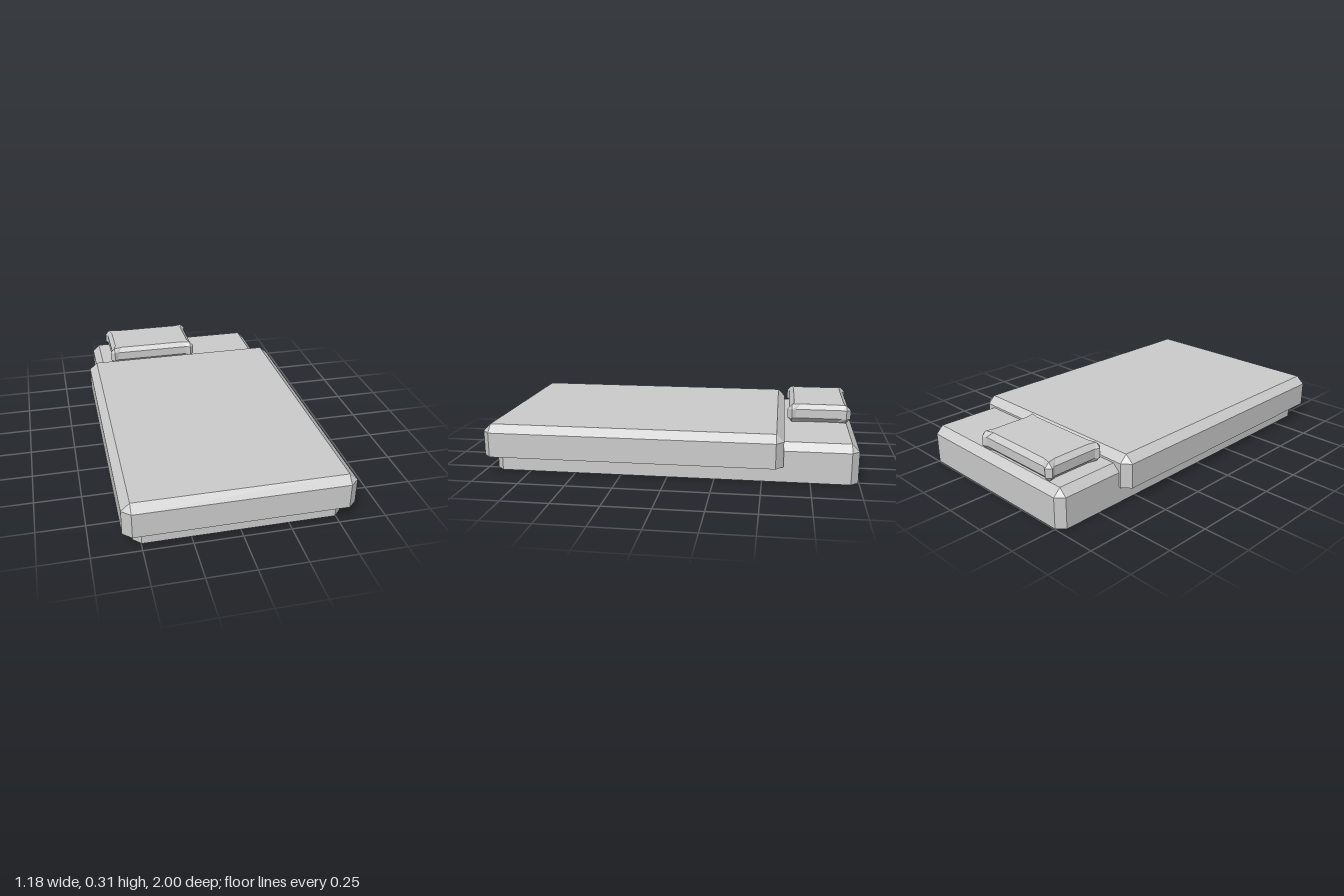
import * as THREE from 'three';

// Horizontal outline with cut corners; pinch draws the straight sides slightly in between the corners.
function outline(hx, hz, cutX, cutZ, y, pinch = 0, run = 0) {
  const ring = [];
  for (const [sx, sz] of [[1, 1], [-1, 1], [-1, -1], [1, -1]]) {
    const pts = [[hx, hz - cutZ], [hx - cutX, hz]];
    if (pinch) {
      pts.unshift([hx - pinch, hz - run]);
      pts.push([hx - run, hz - pinch]);
    }
    if (sx * sz < 0) pts.reverse();
    for (const [x, z] of pts) ring.push(new THREE.Vector3(x * sx, y, z * sz));
  }
  return ring;
}

// Closed solid through a stack of outlines, from bottom to top.
function loft(rings) {
  const pos = [];
  const tri = (a, b, c) => {
    if (new THREE.Triangle(a, b, c).getArea() > 1e-9) {
      for (const p of [a, b, c]) pos.push(p.x, p.y, p.z);
    }
  };
  const n = rings[0].length;
  const first = rings[0], last = rings[rings.length - 1];
  const low = new THREE.Vector3(0, first[0].y, 0);
  const high = new THREE.Vector3(0, last[0].y, 0);
  for (let i = 0; i < n; i++) {
    const j = (i + 1) % n;
    for (let k = 0; k < rings.length - 1; k++) {
      const r = rings[k], s = rings[k + 1];
      tri(r[j], r[i], s[i]);
      tri(r[j], s[i], s[j]);
    }
    tri(low, first[i], first[j]);
    tri(high, last[j], last[i]);
  }
  const geo = new THREE.BufferGeometry();
  geo.setAttribute('position', new THREE.Float32BufferAttribute(pos, 3));
  geo.computeVertexNormals();
  return geo;
}

export function createModel() {
  const group = new THREE.Group();
  const material = new THREE.MeshStandardMaterial({ color: 0xcccccc, flatShading: true });
  const add = (name, x, z, rings) => {
    const mesh = new THREE.Mesh(loft(rings), material);
    mesh.name = name;
    mesh.position.set(x, 0, z);
    group.add(mesh);
  };

  // Mattress with bevelled top and upright edges
  add('mattress', 0, -0.025, [
    outline(0.537, 0.972, 0.04, 0.04, 0),
    outline(0.537, 0.972, 0.04, 0.04, 0.168),
    outline(0.497, 0.932, 0, 0, 0.208),
  ]);

  // Blanket overhanging the mattress on the sides and foot end
  add('blanket', 0, 0.195, [
    outline(0.591, 0.805, 0.045, 0.04, 0.085),
    outline(0.591, 0.805, 0.045, 0.04, 0.219),
    outline(0.546, 0.765, 0, 0, 0.259),
  ]);

  // Pillow bevelled all round, with slightly flared corners
  const px = 0.275, pz = 0.177, bevel = 0.025;
  const pillowEnd = (y) => outline(px - bevel, pz - bevel, 0, 0, y, 0.012, 0.048);
  const pillowSide = (y) => outline(px, pz, bevel, bevel, y, 0.012, 0.048);
  add('pillow', -0.17, -0.803, [
    pillowEnd(0.208), pillowSide(0.234), pillowSide(0.284), pillowEnd(0.31),
  ]);

  return group;
}
